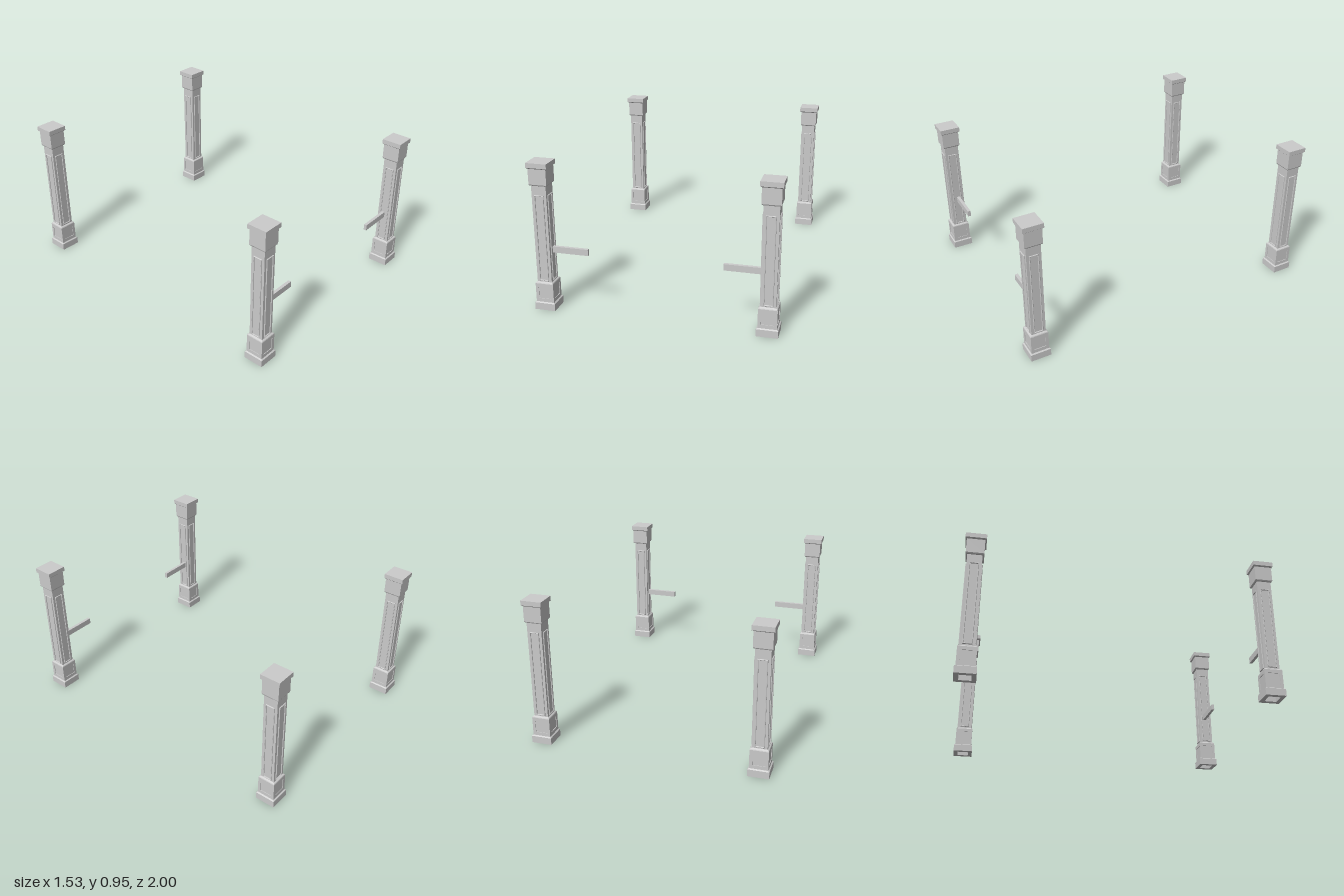
import * as THREE from 'three';

const material = new THREE.MeshStandardMaterial({ color: 0xcccccc, flatShading: true });

function addMesh(parent, name, geometry) {
  const mesh = new THREE.Mesh(geometry, material);
  mesh.name = name;
  parent.add(mesh);
  return mesh;
}

// Square solid of revolution: profile points are [half width, height]
function squareLathe(profile) {
  const points = profile.map(([w, y]) => new THREE.Vector2(w * Math.SQRT2, y));
  return new THREE.LatheGeometry(points, 4, Math.PI / 4);
}

function rectangle(Type, halfW, y0, y1) {
  return new Type([[-halfW, y0], [halfW, y0], [halfW, y1], [-halfW, y1]]
    .map(([x, y]) => new THREE.Vector2(x, y)));
}

// Rectangular frame with an opening, standing from z = from to z = to
function frame(outer, inner, from, to, bevel = 0) {
  const shape = rectangle(THREE.Shape, ...outer);
  shape.holes.push(rectangle(THREE.Path, ...inner));
  const geometry = new THREE.ExtrudeGeometry(shape, {
    depth: to - from - bevel,
    bevelEnabled: bevel > 0,
    bevelThickness: bevel,
    bevelSize: bevel,
    bevelOffset: -bevel,
    bevelSegments: 1,
  });
  return geometry.translate(0, 0, from);
}

function createColumn() {
  const column = new THREE.Group();
  column.name = 'column';

  // Plinth with a hollow underside
  addMesh(column, 'plinth', squareLathe([
    [0, 0.04], [0.038, 0.04], [0.038, 0], [0.066, 0], [0.066, 0.046], [0.058, 0.052], [0, 0.052],
  ]));

  // Base block core, chamfered into the shaft
  addMesh(column, 'baseBlock', squareLathe([
    [0.054, 0.05], [0.054, 0.175], [0.058, 0.175], [0.056, 0.18], [0.047, 0.186], [0, 0.186],
  ]));

  addMesh(column, 'shaft', squareLathe([[0.047, 0.18], [0.047, 0.82]]));

  // Capital block and top slab
  addMesh(column, 'capital', squareLathe([
    [0.046, 0.81], [0.053, 0.813], [0.057, 0.82], [0.057, 0.918], [0.066, 0.925],
    [0.066, 0.955], [0, 0.955],
  ]));

  // Recessed base panels and raised shaft mouldings on all four faces
  const basePanel = frame([0.058, 0.05, 0.175], [0.039, 0.075, 0.152], 0.054, 0.058);
  const moulding = frame([0.03, 0.194, 0.752], [0.024, 0.2, 0.746], 0.046, 0.053, 0.002);
  for (let i = 0; i < 4; i++) {
    const angle = i * Math.PI / 2;
    addMesh(column, 'basePanelFrame', basePanel).rotation.y = angle;
    addMesh(column, 'shaftMoulding', moulding).rotation.y = angle;
  }
  return column;
}

export function createModel() {
  const group = new THREE.Group();
  group.name = 'gatePosts';

  for (const side of [-1, 1]) {
    for (const end of [-1, 1]) {
      const column = createColumn();
      column.position.set(side * 0.698, 0, end * 0.934);
      group.add(column);
    }
    // Short rail reaching inward from each front column
    const rail = addMesh(group, 'rail', new THREE.BoxGeometry(0.23, 0.04, 0.02));
    rail.position.set(side * 0.536, 0.39, 0.927);
  }
  return group;
}
